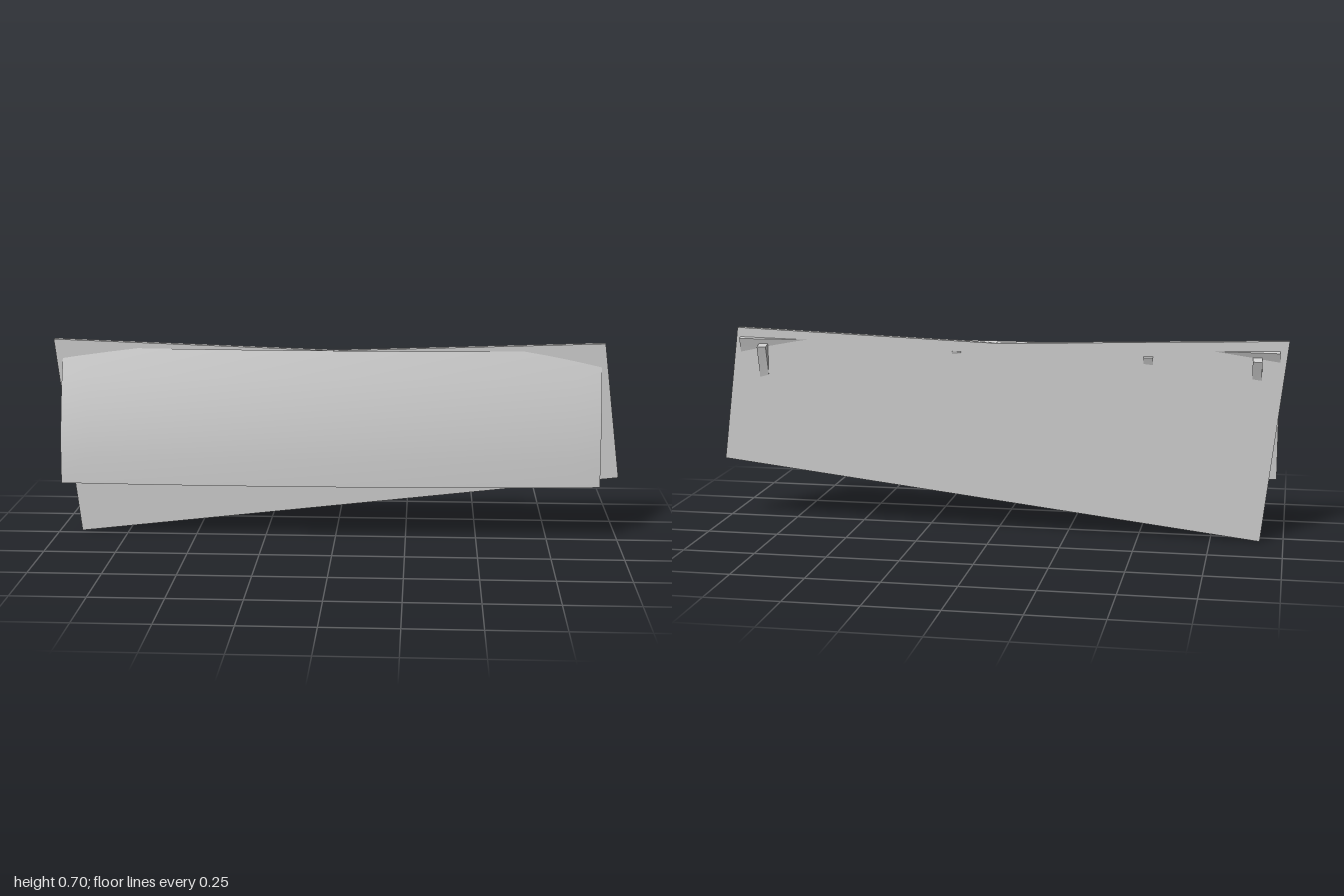
import * as THREE from 'three';

const BOTTOM = 0.2, HEIGHT = 0.47, MID_X = -0.02, HALF = 0.95;
const material = new THREE.MeshStandardMaterial({ color: 0xcccccc });

// Depth of the panel's front face along its bottom and top edges
const bottomZ = (x) => 0.084 - 0.031 * (x + 0.3) ** 2;
const topZ = (x) => -0.008 - 0.033 * ((x - MID_X) / HALF) ** 2;

// A slab that follows the curved face, from depth d0 to d1 behind it
function curvedSlab(name, x0, x1, y0, y1, d0, d1, xSegments) {
  const geo = new THREE.BoxGeometry(x1 - x0, y1 - y0, d1 - d0, xSegments, 5, 1);
  geo.translate((x0 + x1) / 2, (y0 + y1) / 2, -(d0 + d1) / 2);
  const p = geo.attributes.position;
  for (let i = 0; i < p.count; i++) {
    const x = p.getX(i), y = p.getY(i), d = p.getZ(i);
    const t = (y - BOTTOM) / HEIGHT;
    const lean = topZ(x) - bottomZ(x);
    const slope = (2 * lean * t) / HEIGHT;
    const len = Math.hypot(1, slope);
    p.setXYZ(i, x, y - (d * slope) / len, bottomZ(x) + lean * t * t + d / len);
  }
  geo.computeVertexNormals();
  const mesh = new THREE.Mesh(geo, material);
  mesh.name = name;
  return mesh;
}

export function createModel() {
  const group = new THREE.Group();
  group.name = 'curvedPanelAssembly';

  // Flat back plate with a shallow dip in its top edge
  const outline = new THREE.Shape([
    [-0.92, 0], [1, 0.222], [0.94, 0.7], [0, 0.667], [-1, 0.7],
  ].map(([x, y]) => new THREE.Vector2(x, y)));
  const plateGeo = new THREE.ExtrudeGeometry(outline, { depth: 0.025, bevelEnabled: false });
  plateGeo.translate(0, 0, -0.05);
  const plate = new THREE.Mesh(plateGeo, material);
  plate.name = 'backPlate';
  group.add(plate);

  // Bowed front panel
  group.add(curvedSlab('frontPanel', MID_X - HALF, MID_X + HALF, BOTTOM, BOTTOM + HEIGHT, 0, 0.025, 20));

  // Curved ribs behind the panel, their tops passing through the plate
  [-0.895, -0.525, 0.145, 0.845].forEach((x, i) => {
    group.add(curvedSlab(`rib${i + 1}`, x - 0.016, x + 0.016, 0.22, 0.652, 0.025, 0.053, 1));
  });

  return group;
}
